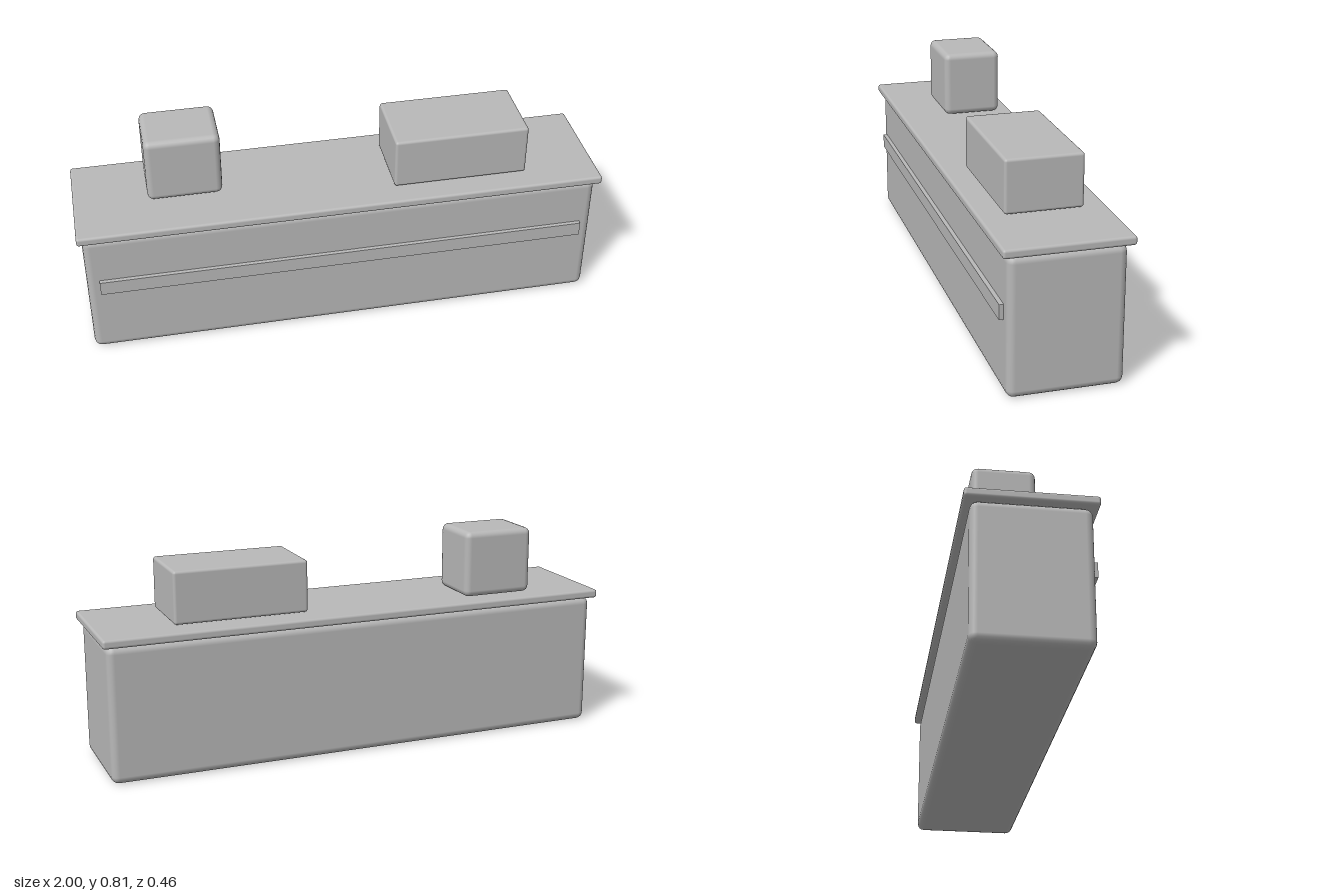
import * as THREE from 'three';
import { RoundedBoxGeometry } from 'three/addons/geometries/RoundedBoxGeometry.js';

export function createModel() {
  const model = new THREE.Group();
  model.name = 'counter';
  const grey = new THREE.MeshStandardMaterial({ color: 0xb8b8b8 });
  grey.name = 'plain grey';

  // Box spanning [min, max] on each axis, with softened edges when radius > 0
  function block(name, [x0, x1], [y0, y1], [z0, z1], radius = 0) {
    const size = [x1 - x0, y1 - y0, z1 - z0];
    const geometry = radius > 0
      ? new RoundedBoxGeometry(...size, 2, radius)
      : new THREE.BoxGeometry(...size);
    const mesh = new THREE.Mesh(geometry, grey);
    mesh.name = name;
    mesh.position.set((x0 + x1) / 2, (y0 + y1) / 2, (z0 + z1) / 2);
    model.add(mesh);
  }

  // Counter body, overhanging top and front trim
  block('counterBody', [-0.982, 0.982], [0, 0.516], [-0.208, 0.208], 0.028);
  block('counterTop', [-1, 1], [0.517, 0.55], [-0.23, 0.23], 0.01);
  block('frontTrim', [-0.935, 0.935], [0.276, 0.332], [0.195, 0.224]);

  // Items standing on the counter
  block('tallBox', [-0.722, -0.44], [0.555, 0.812], [-0.173, 0.057], 0.024);
  block('longBox', [0.202, 0.717], [0.555, 0.754], [-0.143, 0.143], 0.011);

  return model;
}
